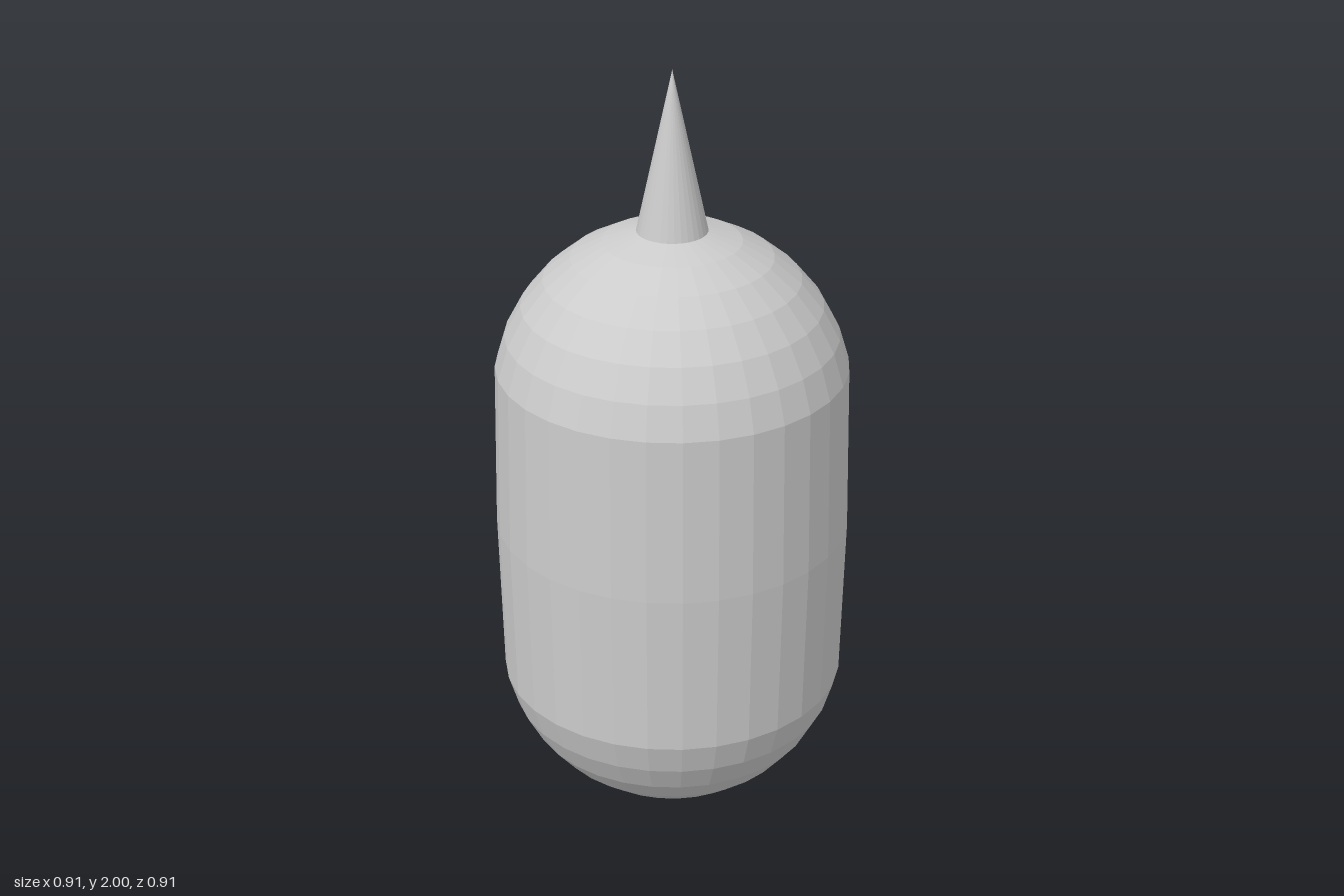
import * as THREE from 'three';

export function createModel() {
  const group = new THREE.Group();
  const material = new THREE.MeshStandardMaterial({ color: 0xcccccc, flatShading: true });
  const radius = 0.454;
  const midY = 0.8;
  const stretch = midY - radius;

  // Capsule body: a faceted sphere with its halves pulled apart from the equator
  const bodyGeometry = new THREE.SphereGeometry(radius, 32, 16);
  const pos = bodyGeometry.attributes.position;
  for (let i = 0; i < pos.count; i++) {
    const y = pos.getY(i);
    const shift = Math.abs(y) < 1e-4 ? 0 : Math.sign(y) * stretch;
    pos.setY(i, y + shift + midY);
  }
  bodyGeometry.computeVertexNormals();
  const body = new THREE.Mesh(bodyGeometry, material);
  body.name = 'body';
  group.add(body);

  // Pointed spike on top
  const spikeHeight = 0.41;
  const spike = new THREE.Mesh(new THREE.ConeGeometry(0.089, spikeHeight, 32), material);
  spike.position.y = 2 - spikeHeight / 2;
  spike.name = 'spike';
  group.add(spike);

  return group;
}
